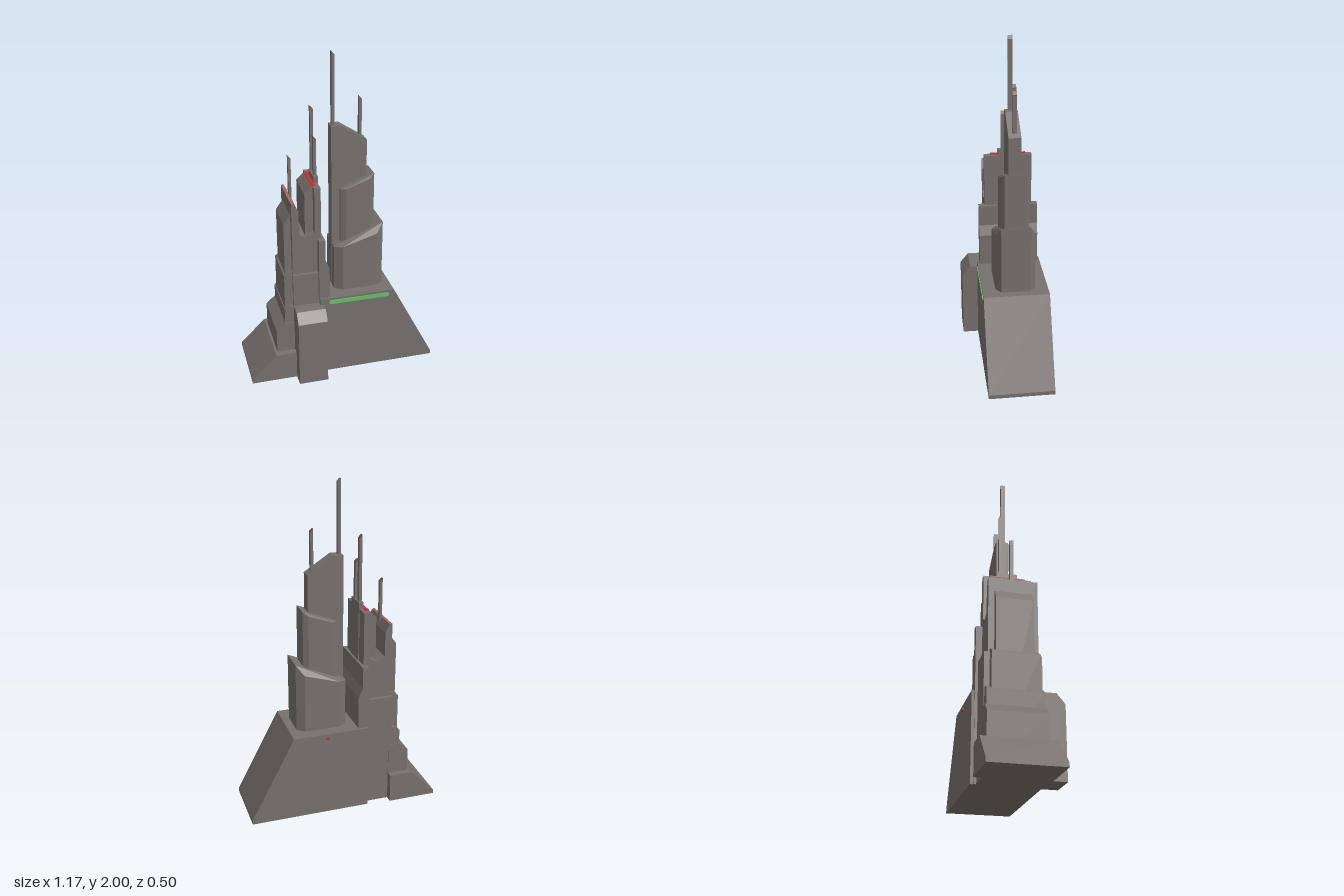
import * as THREE from 'three';
import { ConvexGeometry } from 'three/addons/geometries/ConvexGeometry.js';

const mat = (name, color) => {
  const m = new THREE.MeshStandardMaterial({ color });
  m.name = name;
  return m;
};

export function createModel() {
  const model = new THREE.Group();
  const stone = mat('warm grey stone', 0x77716d);
  const red = mat('signal red', 0xd8262c);
  const rose = mat('dusty red', 0xb0645f);
  const brown = mat('red brown', 0x80483f);
  const green = mat('green light', 0x66c264);

  const add = (name, geo, material = stone) => {
    const mesh = new THREE.Mesh(geo, material);
    mesh.name = name;
    model.add(mesh);
    return mesh;
  };

  // Side profile in x,y pushed from z0 to z1
  const prism = (name, pts, z0, z1, material) => {
    const shape = new THREE.Shape(pts.map(([x, y]) => new THREE.Vector2(x, y)));
    const geo = new THREE.ExtrudeGeometry(shape, { depth: z1 - z0, bevelEnabled: false });
    return add(name, geo.translate(0, 0, z0), material);
  };

  const box = (name, x0, x1, y0, y1, z0, z1, material) => {
    const geo = new THREE.BoxGeometry(x1 - x0, y1 - y0, z1 - z0);
    return add(name, geo.translate((x0 + x1) / 2, (y0 + y1) / 2, (z0 + z1) / 2), material);
  };

  // Eight-sided tier whose slanted roof falls away to front and back
  const tier = (name, y, [x0, x1], [xa, xb], [zi0, zi1], [zo0, zo1], [y0, y1], [ya, yb]) => {
    const pts = [];
    const post = (x, z, top) =>
      pts.push(new THREE.Vector3(x, y, z), new THREE.Vector3(x, top, z));
    for (const z of [zi0, zi1]) { post(x0, z, y0); post(x1, z, y1); }
    for (const z of [zo0, zo1]) { post(xa, z, ya); post(xb, z, yb); }
    add(name, new ConvexGeometry(pts));
  };

  // Thin mast with a slanted tip and an optional coloured cap
  const mast = (name, x0, x1, y0, y1, z0, z1, cap) => {
    const low = y1 - 0.018;
    prism(name, [[x0, y0], [x1, y0], [x1, low], [x0, y1]], z0, z1);
    if (cap) {
      prism(name + 'Tip', [[x0, y1], [x1, low], [x1, low + 0.003], [x0, y1 + 0.003]], z0, z1, cap);
    }
  };

  // Large sloping base
  prism('mainBase', [[-0.145, 0], [0.585, 0], [0.585, 0.025], [0.32, 0.53], [-0.145, 0.53]], -0.24, 0.155);
  prism('frontLightStrip', [[-0.095, 0.503], [-0.085, 0.49], [0.28, 0.49], [0.292, 0.503],
    [0.28, 0.515], [-0.085, 0.515]], 0.155, 0.16, green);
  box('rearLight', 0.1, 0.12, 0.495, 0.51, -0.244, -0.24, red);

  // Tall stepped tower
  tier('lowerTier', 0.53, [-0.033, 0.273], [0.015, 0.227], [-0.13, 0.045], [-0.165, 0.076],
    [0.82, 0.95], [0.825, 0.89]);
  tier('middleTier', 0.53, [0.014, 0.22], [0.045, 0.19], [-0.108, 0.02], [-0.127, 0.038],
    [1.185, 1.265], [1.188, 1.24]);
  prism('upperTower', [[-0.035, 0.53], [0.18, 0.53], [0.18, 1.47], [0.025, 1.57], [-0.035, 1.57]], -0.08, -0.007);
  mast('tallMast', -0.028, -0.01, 1.55, 2.0, -0.052, -0.025);
  mast('shortMast', 0.137, 0.154, 1.46, 1.727, -0.057, -0.032, brown);

  // Front column and plinth of the second tower
  const column = new THREE.Shape([[-0.25, 0], [0.207, 0], [0.207, 0.49], [-0.2, 0.49], [-0.25, 0.43]]
    .map(([x, y]) => new THREE.Vector2(x, y)));
  add('frontColumn', new THREE.ExtrudeGeometry(column, { depth: 0.18, bevelEnabled: false })
    .rotateY(Math.PI / 2).translate(-0.306, 0, 0));
  box('plinth', -0.306, -0.126, 0.49, 0.7, -0.207, 0.122);

  // Second tower with an open slot
  prism('slottedTower', [[-0.303, 0.6], [-0.127, 0.6], [-0.127, 1.245], [-0.165, 1.245], [-0.165, 0.96],
    [-0.215, 0.935], [-0.26, 0.96], [-0.26, 1.11], [-0.285, 1.16], [-0.303, 1.16]], -0.186, 0.103);
  prism('slotPier', [[-0.215, 0.93], [-0.16, 0.93], [-0.16, 1.245], [-0.17, 1.245], [-0.215, 1.2]], -0.15, 0.063);
  box('outerRoofStripe', -0.302, -0.286, 1.16, 1.163, -0.186, 0.103, rose);
  box('innerRoofStripe', -0.17, -0.147, 1.245, 1.249, -0.15, 0.063, red);
  prism('sideFin', [[-0.15, 0], [-0.085, 0], [-0.085, 0.73], [-0.11, 0.79], [-0.11, 0.92], [-0.15, 0.92]],
    -0.223, 0.14);
  box('mastBlock', -0.15, -0.122, 0.9, 1.285, -0.105, 0.022);
  mast('leftMast', -0.287, -0.27, 1.1, 1.4, -0.057, -0.035, brown);
  mast('rearMast', -0.145, -0.127, 1.25, 1.68, -0.09, -0.066, brown);
  mast('innerMast', -0.145, -0.127, 1.25, 1.52, -0.024, 0.002, brown);

  // Stepped buttresses: outer x, shoulder height, inner x, top height, z range
  const steps = [
    [-0.587, 0.025, -0.432, 0.18, -0.252, 0.17],
    [-0.418, 0.325, -0.362, 0.375, -0.212, 0.128],
    [-0.362, 0.465, -0.33, 0.49, -0.203, 0.12],
    [-0.356, 0.69, -0.305, 0.72, -0.175, 0.1],
    [-0.345, 1.02, -0.303, 1.08, -0.15, 0.07],
  ];
  steps.forEach(([x0, y0, x1, y1, z0, z1], i) =>
    prism('buttress' + (i + 1), [[x0, 0], [-0.29, 0], [-0.29, y1], [x1, y1], [x0, y0]], z0, z1));

  return model;
}
